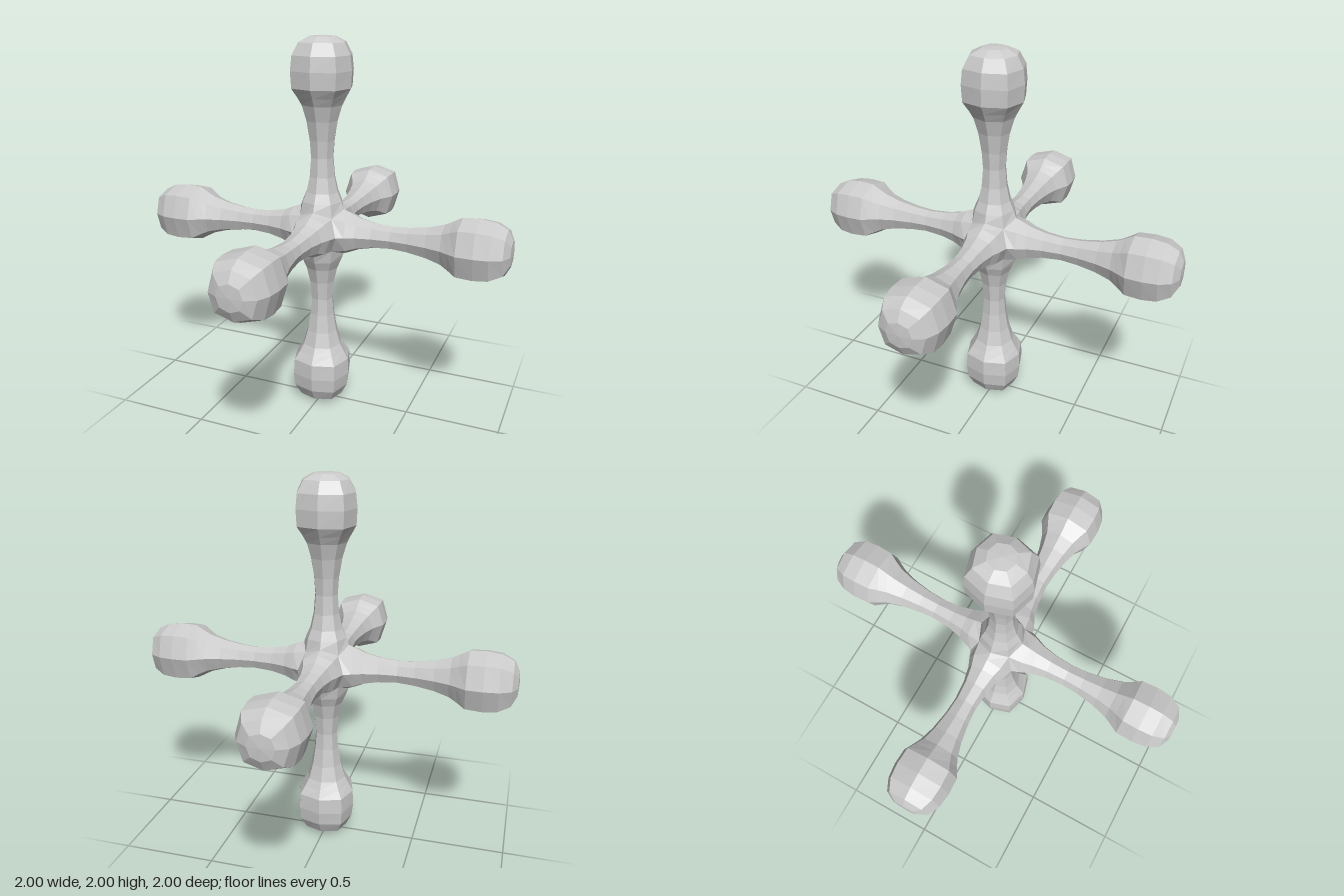
import * as THREE from 'three';

// Rings along one arm: [height, half-width at mid-sides, offset of corners, corner height]
const RINGS = [
  [0.122, 0.122, 0.088, 0.088], // shared with the neighbouring arms at the hub
  [0.16, 0.108, 0.078, 0.16],
  [0.21, 0.086, 0.063],
  [0.29, 0.068, 0.05],
  [0.39, 0.06, 0.044],
  [0.48, 0.066, 0.049],
  [0.58, 0.083, 0.061],
  [0.66, 0.107, 0.078],
  [0.7, 0.128, 0.095],
  [0.745, 0.153, 0.117],
  [0.83, 0.157, 0.121],
  [0.905, 0.148, 0.115],
  [0.966, 0.118, 0.09],
  [0.993, 0.065, 0.048],
];
const TIP = 0.998;

// Eight-sided loft: even points are mid-sides, odd points are corners
function armGeometry() {
  const pos = [];
  const index = [];
  for (const [h, mid, corner, cornerH = h] of RINGS) {
    for (let i = 0; i < 8; i++) {
      const a = (i * Math.PI) / 4;
      const isCorner = i % 2 === 1;
      const r = isCorner ? corner * Math.SQRT2 : mid;
      pos.push(r * Math.sin(a), isCorner ? cornerH : h, r * Math.cos(a));
    }
  }
  for (let k = 0; k < RINGS.length - 1; k++) {
    for (let i = 0; i < 8; i++) {
      const a = k * 8 + i;
      const b = k * 8 + ((i + 1) % 8);
      index.push(a, b, b + 8, a, b + 8, a + 8);
    }
  }
  // Cap fan
  const last = (RINGS.length - 1) * 8;
  pos.push(0, TIP, 0);
  for (let i = 0; i < 8; i++) index.push(last + i, last + ((i + 1) % 8), last + 8);

  const g = new THREE.BufferGeometry();
  g.setAttribute('position', new THREE.Float32BufferAttribute(pos, 3));
  g.setIndex(index);
  const flat = g.toNonIndexed();
  flat.computeVertexNormals();
  return flat;
}

export function createModel() {
  const group = new THREE.Group();
  group.name = 'sixArmedJack';
  const material = new THREE.MeshStandardMaterial({ color: 0xcccccc, flatShading: true });
  const geometry = armGeometry();
  const H = Math.PI / 2;

  // Six identical knobbed arms; their base rings meet to form the hub
  const arms = [
    ['topArm', 0, 0],
    ['bottomArm', Math.PI, 0],
    ['frontArm', H, 0],
    ['backArm', -H, 0],
    ['leftArm', 0, -H],
    ['rightArm', 0, H],
  ];
  for (const [name, rx, rz] of arms) {
    const arm = new THREE.Mesh(geometry, material);
    arm.name = name;
    arm.rotation.set(rx, 0, rz);
    arm.position.y = 1;
    group.add(arm);
  }
  return group;
}
